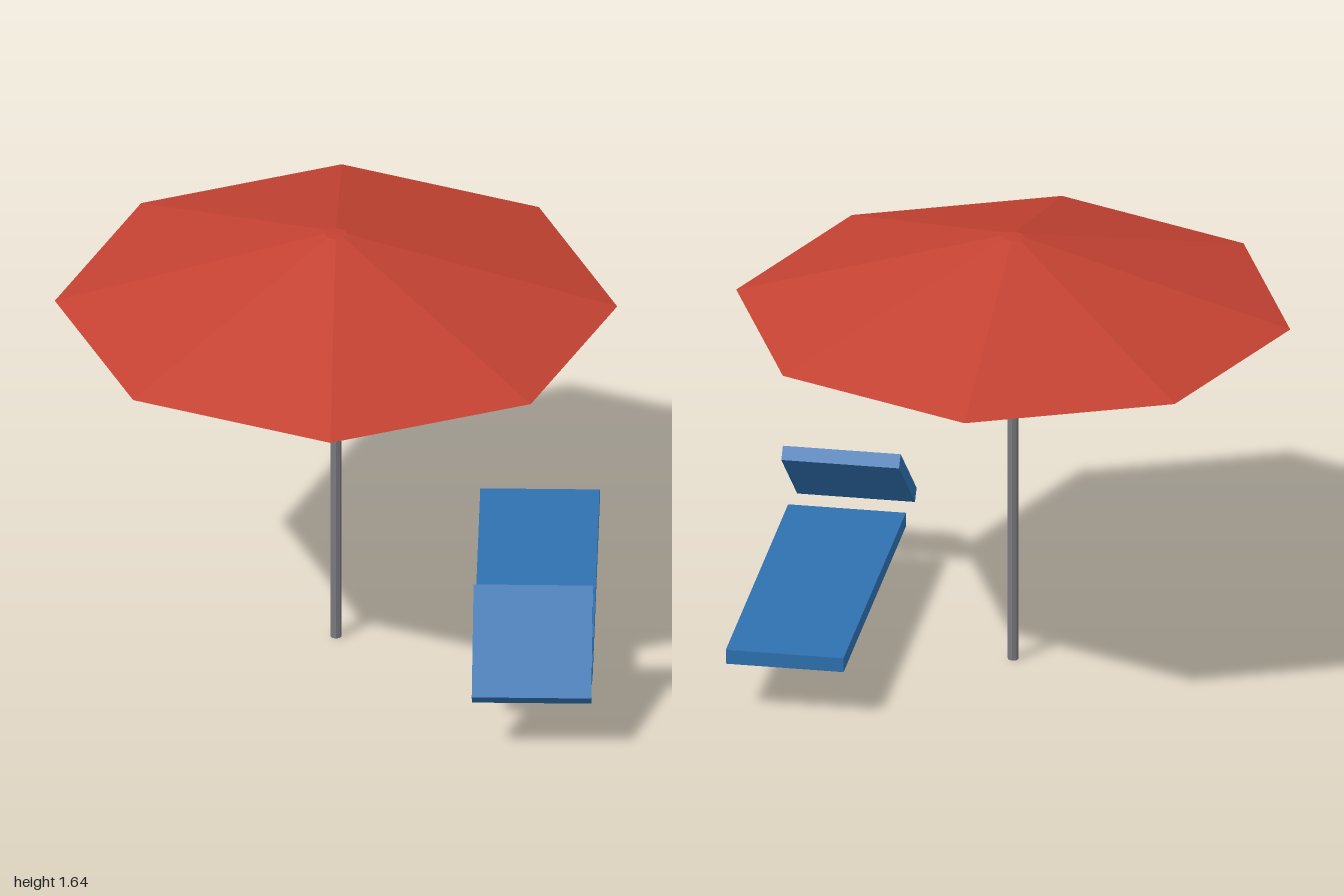
import * as THREE from 'three';

export function createModel() {
  const model = new THREE.Group();
  model.name = 'parasolAndLounger';

  const mat = (name, color) => {
    const m = new THREE.MeshStandardMaterial({ color, flatShading: true });
    m.name = name;
    return m;
  };
  const red = mat('canopyRed', 0xc44232);
  const grey = mat('poleGrey', 0x7a7a80);
  const blue = mat('cushionBlue', 0x2f72b0);

  const add = (parent, name, geometry, material, x, y, z) => {
    const mesh = new THREE.Mesh(geometry, material);
    mesh.name = name;
    mesh.position.set(x, y, z);
    parent.add(mesh);
    return mesh;
  };

  // Parasol: eight-sided canopy with a flat underside on a slim pole
  const parasol = new THREE.Group();
  parasol.name = 'parasol';
  add(parasol, 'canopy', new THREE.CylinderGeometry(0.04, 1, 0.285, 8), red, 0, 1.5025, 0);
  add(parasol, 'pole', new THREE.CylinderGeometry(0.02, 0.02, 1.4, 8), grey, 0, 0.7, 0);

  // Lounger: flat bed and a separate tilted backrest at the front end
  const lounger = new THREE.Group();
  lounger.name = 'lounger';
  lounger.position.x = 0.7125;
  add(lounger, 'bed', new THREE.BoxGeometry(0.425, 0.054, 1.28), blue, 0, 0.218, 0);
  const backrest = add(lounger, 'backrest', new THREE.BoxGeometry(0.425, 0.053, 0.428), blue, 0, 0.3625, 0.68);
  backrest.rotation.x = 0.7;

  model.add(parasol, lounger);
  return model;
}
